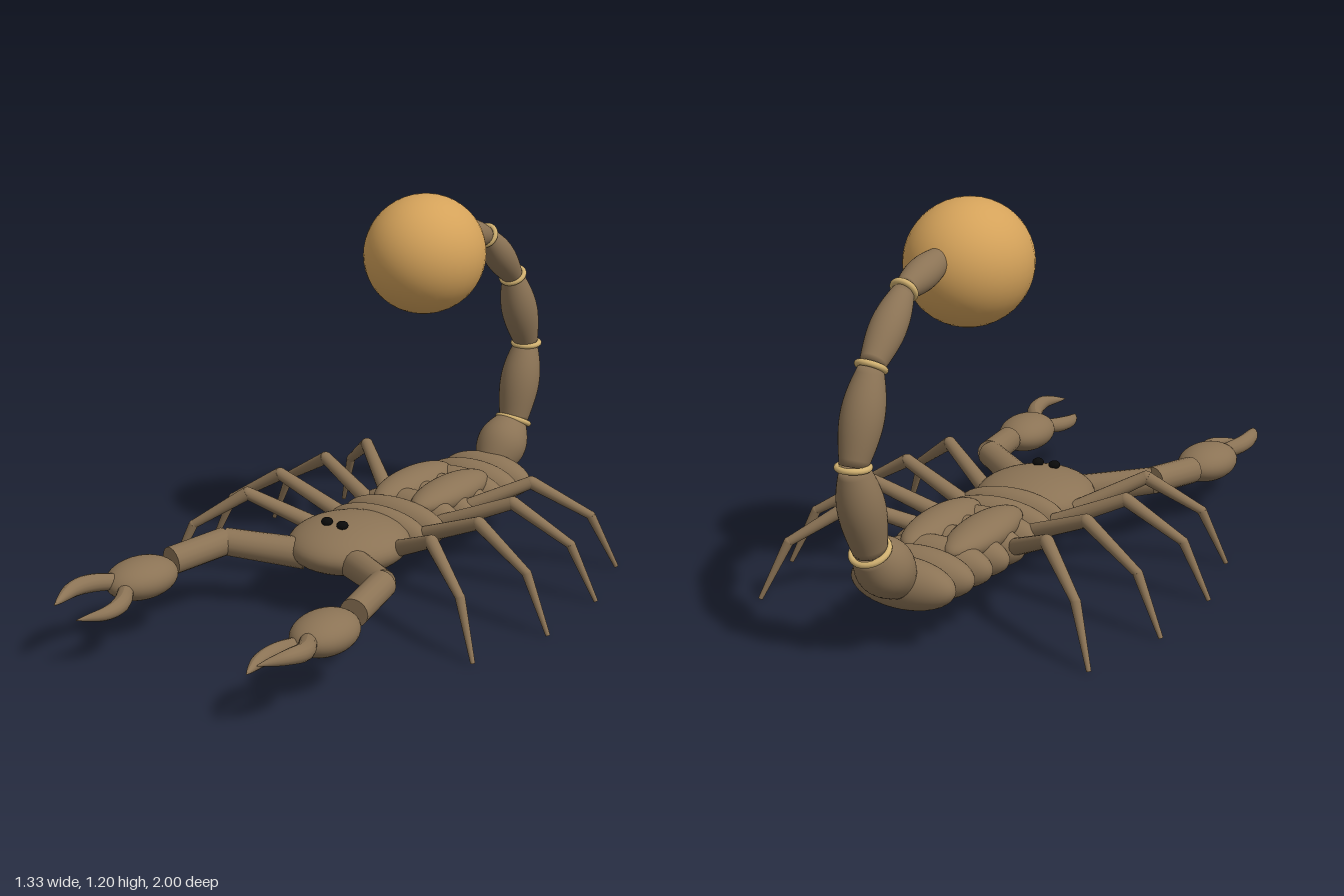
import * as THREE from 'three';

const mat = (name, color) => {
  const m = new THREE.MeshStandardMaterial({ color });
  m.name = name;
  return m;
};
const V = (x, y, z) => new THREE.Vector3(x, y, z);
const UP = V(0, 1, 0);
const YAW = 0.265; // heading of the body

export function createModel() {
  const shell = mat('brown shell', 0x8b7355);
  const amber = mat('amber', 0xd4a25a);
  const band = mat('pale band', 0xd0b070);
  const black = mat('eye black', 0x0a0a0a);
  const model = new THREE.Group();
  model.name = 'scorpion';

  const add = (parent, name, geo, material) => {
    const mesh = new THREE.Mesh(geo, material);
    mesh.name = name;
    parent.add(mesh);
    return mesh;
  };
  const group = (name) => {
    const g = new THREE.Group();
    g.name = name;
    model.add(g);
    return g;
  };
  const ellipsoid = (parent, name, pos, radii, yaw = YAW, material = shell) => {
    const mesh = add(parent, name, new THREE.SphereGeometry(1, 36, 24), material);
    mesh.position.copy(pos);
    mesh.scale.set(...radii);
    mesh.rotation.y = yaw;
    return mesh;
  };
  // place a y-aligned geometry between two points
  const align = (mesh, a, b) => {
    mesh.position.copy(a).lerp(b, 0.5);
    mesh.quaternion.setFromUnitVectors(UP, b.clone().sub(a).normalize());
    return mesh;
  };
  const limb = (parent, name, a, b, ra, rb) =>
    align(add(parent, name, new THREE.CylinderGeometry(rb, ra, a.distanceTo(b), 16), shell), a, b);

  // head and eyes
  const head = group('head');
  ellipsoid(head, 'headShell', V(0.055, 0.19, 0.03), [0.182, 0.08, 0.2]);
  ellipsoid(head, 'rightEye', V(0.045, 0.271, 0.107), [0.018, 0.013, 0.018], 0, black);
  ellipsoid(head, 'leftEye', V(0.1, 0.271, 0.092), [0.018, 0.013, 0.018], 0, black);

  // overlapping abdomen plates
  const abdomen = group('abdomen');
  for (let i = 0; i < 8; i++) {
    const t = i / 7;
    ellipsoid(abdomen, 'abdomenPlate', V(0.015 - 0.165 * t, 0.185, -0.12 - 0.61 * t),
      [0.183 - 0.018 * t + 0.015 * Math.sin(Math.PI * t), 0.075, 0.06 + 0.012 * t]);
  }

  // two long back shells
  for (const s of [-1, 1]) {
    ellipsoid(abdomen, 'backShell',
      V(-0.065 + s * 0.07 * Math.cos(YAW), 0.235, -0.41 - s * 0.07 * Math.sin(YAW)),
      [0.072, 0.05, 0.2]);
  }

  // legs: root x, z and foot x, z
  const legs = group('legs');
  [
    [-0.2, -0.34, -0.657, -0.525], [-0.15, -0.235, -0.66, -0.222],
    [-0.15, -0.105, -0.59, 0.085], [-0.12, 0.02, -0.448, 0.352],
    [0.06, -0.4, 0.39, -0.8], [0.11, -0.295, 0.55, -0.543],
    [0.15, -0.175, 0.643, -0.247], [0.19, -0.045, 0.65, 0.058],
  ].forEach(([rx, rz, fx, fz]) => {
    const leg = new THREE.Group();
    leg.name = 'leg';
    legs.add(leg);
    const at = (t, y) => V(rx + (fx - rx) * t, y, rz + (fz - rz) * t);
    const root = at(0, 0.19), knee = at(0.46, 0.288), ankle = at(0.83, 0.178), foot = at(1, 0.004);
    limb(leg, 'upperLeg', root, knee, 0.026, 0.02);
    limb(leg, 'middleLeg', knee, ankle, 0.021, 0.014);
    limb(leg, 'lowerLeg', ankle, foot, 0.015, 0.007);
    ellipsoid(leg, 'knee', knee, [0.02, 0.02, 0.02], 0);
    ellipsoid(leg, 'ankle', ankle, [0.0145, 0.0145, 0.0145], 0);
  });

  // curved pincer finger: a tube whose rings shrink towards the tip
  const finger = (parent, name, points, radius) => {
    const curve = new THREE.CatmullRomCurve3(points);
    const segs = 24, sides = 14;
    const geo = new THREE.TubeGeometry(curve, segs, radius, sides);
    const pos = geo.attributes.position, p = V(0, 0, 0);
    for (let i = 0; i <= segs; i++) {
      const t = i / segs, c = curve.getPointAt(t);
      const k = (0.7 + 0.6 * t) * (1 - t * t) + 0.03;
      for (let j = 0; j <= sides; j++) {
        const n = i * (sides + 1) + j;
        p.fromBufferAttribute(pos, n).sub(c).multiplyScalar(k).add(c);
        pos.setXYZ(n, p.x, p.y, p.z);
      }
    }
    geo.computeVertexNormals();
    add(parent, name, geo, shell);
  };

  // claw arms
  const claw = (name, root, elbow, wrist, palm, yaw, outer, inner) => {
    const arm = group(name);
    limb(arm, 'upperArm', root, elbow, 0.048, 0.042);
    limb(arm, 'foreArm', elbow, wrist, 0.043, 0.043);
    ellipsoid(arm, 'palm', palm, [0.087, 0.06, 0.12], yaw);
    finger(arm, 'outerFinger', outer, 0.032);
    finger(arm, 'innerFinger', inner, 0.03);
  };
  claw('leftClaw', V(0.16, 0.175, 0.105), V(0.405, 0.205, 0.19), V(0.49, 0.19, 0.365),
    V(0.525, 0.18, 0.495), 0.28,
    [V(0.56, 0.19, 0.58), V(0.625, 0.2, 0.645), V(0.645, 0.21, 0.71), V(0.628, 0.205, 0.805)],
    [V(0.54, 0.175, 0.58), V(0.522, 0.168, 0.65), V(0.53, 0.163, 0.72), V(0.575, 0.16, 0.8)]);
  claw('rightClaw', V(0.02, 0.175, 0.17), V(-0.155, 0.205, 0.345), V(-0.155, 0.19, 0.54),
    V(-0.122, 0.18, 0.667), 0.12,
    [V(-0.12, 0.19, 0.75), V(-0.135, 0.2, 0.83), V(-0.12, 0.205, 0.9), V(-0.06, 0.2, 1)],
    [V(-0.09, 0.175, 0.74), V(-0.015, 0.168, 0.81), V(0.005, 0.163, 0.87), V(-0.012, 0.16, 0.96)]);

  // tail: barrel segments joined by pale rings
  const tail = group('tail');
  const joints = [
    V(-0.165, 0.2, -0.76), V(-0.192, 0.335, -0.888), V(-0.206, 0.592, -0.952),
    V(-0.186, 0.843, -0.862), V(-0.135, 1.01, -0.69), V(-0.085, 1.06, -0.5),
  ];
  const bulge = [0.083, 0.066, 0.06, 0.051, 0.047];
  const neck = [0.06, 0.053, 0.043, 0.038, 0.033, 0.035];
  for (let i = 0; i < 5; i++) {
    const a = joints[i], b = joints[i + 1], len = a.distanceTo(b);
    const profile = [new THREE.Vector2(0, -len / 2)];
    for (let k = 0; k <= 14; k++) {
      const t = k / 14, end = neck[i] + (neck[i + 1] - neck[i]) * t;
      const r = end * 0.9 + (bulge[i] - end * 0.9) * Math.sin(Math.PI * t);
      profile.push(new THREE.Vector2(r, (t - 0.5) * len));
    }
    profile.push(new THREE.Vector2(0, len / 2));
    align(add(tail, 'tailSegment', new THREE.LatheGeometry(profile, 32), shell), a, b);
    if (i > 0) {
      const ring = add(tail, 'tailRing', new THREE.TorusGeometry(neck[i], 0.009, 12, 36), band);
      ring.position.copy(a);
      ring.quaternion.setFromUnitVectors(V(0, 0, 1), b.clone().sub(joints[i - 1]).normalize());
    }
  }

  // large round bulb on the tail tip
  ellipsoid(tail, 'tailBulb', V(-0.047, 1.015, -0.353), [0.185, 0.185, 0.2], YAW, amber);

  return model;
}
